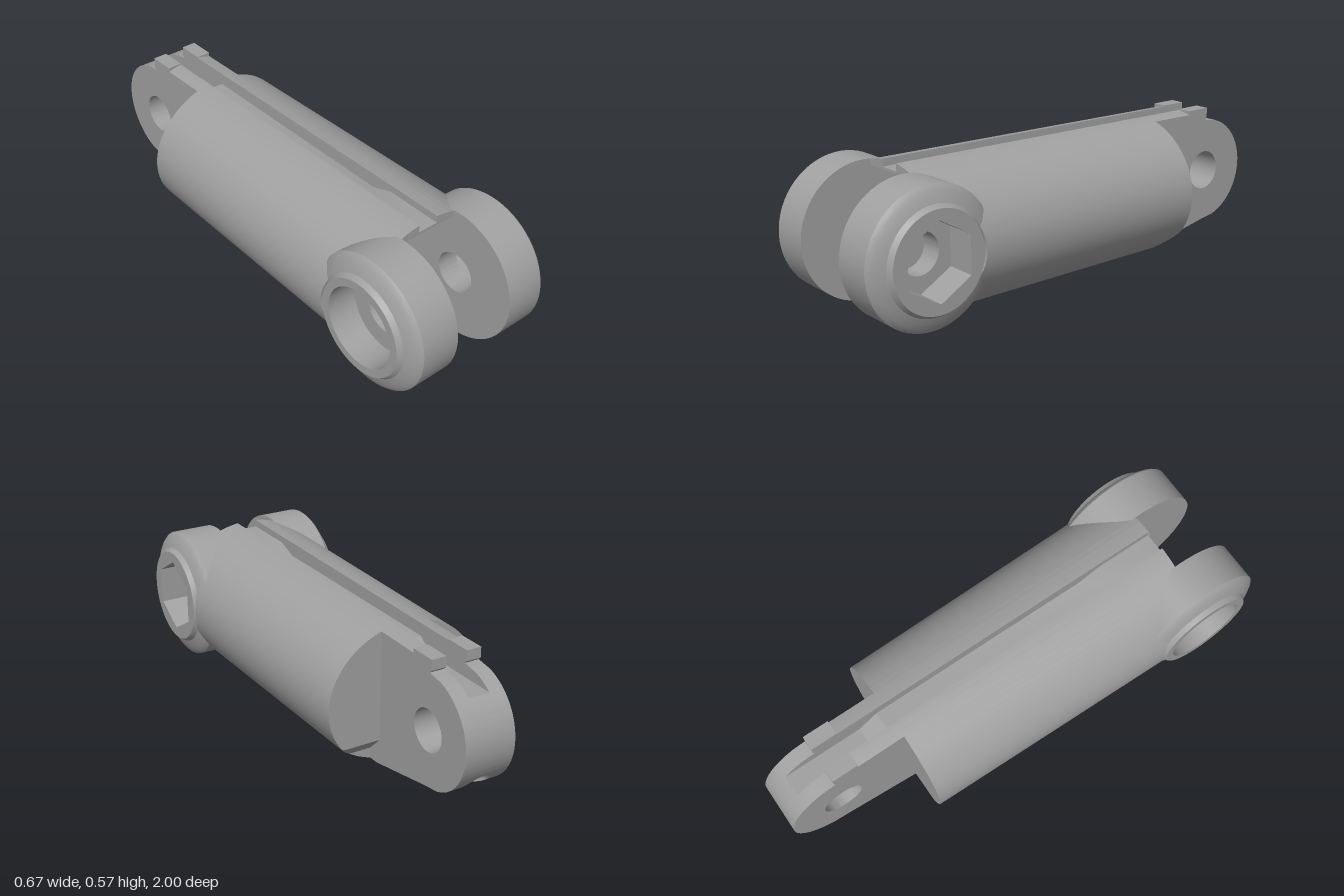
import * as THREE from 'three';
import { toCreasedNormals } from 'three/addons/utils/BufferGeometryUtils.js';

const PZ = 0.74, PY = 0.293;          // front pivot
const TZ = -0.78, TY = 0.295;         // rear pivot
const GAP = 0.125, TONGUE = 0.1, SLOT = 0.042, R0 = 0.33;
const clamp = THREE.MathUtils.clamp;
const root = (r, d) => Math.sqrt(Math.max(0, r * r - d * d));

// Tapered elliptical body
const rx = z => 0.3215 + 0.018 * z;
const xAt = (u, z) => Math.abs(u) <= GAP ? u
  : Math.sign(u) * (GAP + (rx(z) - GAP) * (Math.abs(u) - GAP) / (R0 - GAP));
const half = (u, z) => (0.281 + 0.005 * z) * root(1, xAt(u, z) / rx(z));
const top = (u, z) => 0.284 + 0.004 * z + half(u, z);
const bottom = (u, z) => 0.284 + 0.004 * z - half(u, z);

// End profiles: z as a function of y
const gapFront = y => y < 0.18 ? 0.43 : y < 0.26 ? 0.43 + (y - 0.18) * 0.875
  : Math.min(0.71, PZ - root(0.24, y - 0.29));
const earFront = y => Math.min(0.71, PZ - root(0.2, y - 0.29));
const bodyRear = y => -0.43 - clamp(y - 0.06, 0, 0.06);
const tongueRear = y => y < 0.08 ? -0.43 - Math.max(0, y - 0.01) * 5
  : y > 0.51 ? -0.79 : TZ - root(0.215, y - TY);

// Round tunnel along the body
const tunnel = u => root(0.05, u);
const tunnelTop = u => 0.128 + tunnel(u);
const tunnelBottom = u => 0.128 - tunnel(u);

const ROWS = Array.from({ length: 59 }, (_, i) => i / 100);
const HOLE_ROWS = Array.from({ length: 25 }, (_, i) => TY - 0.08 * Math.cos(i / 24 * Math.PI));

// Solid spanning columns us, between heights lo and hi and between two end profiles
function band(us, lo, hi, rear, front, rows = ROWS) {
  const pos = [];
  const point = (u, row, end) => {
    const z = end(clamp(row, lo(u, 0), hi(u, 0)));
    return new THREE.Vector3(xAt(u, z), clamp(row, lo(u, z), hi(u, z)), z);
  };
  const F = us.map(u => rows.map(r => point(u, r, front)));
  const B = us.map(u => rows.map(r => point(u, r, rear)));
  const tri = (a, b, c) => {
    const n = b.clone().sub(a).cross(c.clone().sub(a));
    if (n.length() > 1e-9) for (const p of [a, b, c]) pos.push(p.x, p.y, p.z);
  };
  const quad = (a, b, c, d) => { tri(a, b, c); tri(a, c, d); };
  const n = us.length - 1, m = rows.length - 1;
  for (let i = 0; i < n; i++) {
    for (let j = 0; j < m; j++) {
      quad(F[i][j], F[i + 1][j], F[i + 1][j + 1], F[i][j + 1]);
      quad(B[i + 1][j], B[i][j], B[i][j + 1], B[i + 1][j + 1]);
    }
    quad(F[i][m], F[i + 1][m], B[i + 1][m], B[i][m]);
    quad(B[i][0], B[i + 1][0], F[i + 1][0], F[i][0]);
  }
  for (let j = 0; j < m; j++) {
    quad(F[n][j], B[n][j], B[n][j + 1], F[n][j + 1]);
    quad(B[0][j], F[0][j], F[0][j + 1], B[0][j + 1]);
  }
  const g = new THREE.BufferGeometry();
  g.setAttribute('position', new THREE.Float32BufferAttribute(pos, 3));
  return toCreasedNormals(g, 0.45);
}

// Flat outline in (-z, y) extruded from x0 to x1
function plate(shape, x0, x1) {
  const g = new THREE.ExtrudeGeometry(shape, { depth: x1 - x0, bevelEnabled: false, curveSegments: 32 });
  g.rotateY(Math.PI / 2).translate(x0, 0, 0);
  return toCreasedNormals(g, 0.45);
}

const circle = (r, C = THREE.Path) => new C().absarc(-PZ, PY, r, 0, Math.PI * 2);
const hexagon = r => new THREE.Path(Array.from({ length: 6 }, (_, i) => {
  const a = Math.PI / 2 + i * Math.PI / 3;
  return new THREE.Vector2(-PZ + r * Math.cos(a), PY + r * Math.sin(a));
}));

export function createModel() {
  const model = new THREE.Group();
  const grey = new THREE.MeshStandardMaterial({ color: 0xa0a0a0 });
  grey.name = 'plain grey';
  const add = (name, geometry) => {
    const mesh = new THREE.Mesh(geometry, grey);
    mesh.name = name;
    model.add(mesh);
  };

  // Central web with the tunnel and the rear pivot hole
  const web = (name, us, hi) => {
    const holeEdge = s => y => TZ + s * root(0.08, y - TY);
    const h0 = () => TY - 0.08, h1 = () => TY + 0.08;
    add(name + 'Floor', band(us, bottom, tunnelBottom, tongueRear, gapFront));
    add(name + 'Lower', band(us, tunnelTop, h0, tongueRear, gapFront,
      [...ROWS, 0.215].sort((a, b) => a - b)));
    add(name + 'Middle', band(us, h0, h1, holeEdge(1), gapFront, HOLE_ROWS));
    add(name + 'Tip', band(us, h0, h1, tongueRear, holeEdge(-1), HOLE_ROWS));
    add(name + 'Upper', band(us, h1, hi, tongueRear, gapFront));
  };
  web('core', [-1, -0.85, -0.65, -0.45, -0.2, 0, 0.2, 0.45, 0.65, 0.85, 1].map(t => t * SLOT), () => 0.46);

  // Floor of the long top slot
  const floor = [[0.571, 0.46], [0.62, 0.5], [0.66, 0.516], [0.71, 0.53], [0.71, 0.54], [0.48, 0.54],
    [0.39, 0.51], [-0.52, 0.51], [-0.6, 0.46]];
  add('slotFloor', plate(new THREE.Shape(floor.map(([z, y]) => new THREE.Vector2(-z, y))), -SLOT, SLOT));

  const socketDepth = 0.12, wall = [SLOT, 0.045, 0.048, 0.0495, 0.05, 0.075, TONGUE];
  const flank = Array.from({ length: 17 }, (_, i) => GAP + (R0 - GAP) * Math.sin(i / 16 * Math.PI / 2));
  const earProfile = [[0.08, 0.125], [0.262, 0.125], [0.262, 0.28], [0.255, 0.288], [0.24, 0.297],
    [0.22, 0.307], [0.2, 0.314], [0.187, 0.333]];

  for (const s of [1, -1]) {
    const side = s > 0 ? 'left' : 'right';
    const cols = us => us.map(u => u * s).sort((a, b) => a - b);
    const span = (a, b) => s > 0 ? [a, b] : [-b, -a];

    web(side + 'Web', cols(wall), top);
    add(side + 'Collar', band(cols([TONGUE, GAP]), bottom, top, bodyRear, gapFront));
    add(side + 'BodyFlank', band(cols(flank), bottom, top, bodyRear, earFront));

    // Small raised tab at the rear end of the rail
    const tab = new THREE.BoxGeometry(TONGUE - SLOT, 0.04, 0.105);
    add(side + 'RailTab', tab.translate(s * (TONGUE + SLOT) / 2, 0.54, -0.7375));

    // Hinge ear
    const ear = new THREE.LatheGeometry(earProfile.map(p => new THREE.Vector2(...p)), 64);
    ear.rotateZ(-s * Math.PI / 2).translate(0, PY, PZ);
    add(side + 'Ear', toCreasedNormals(ear, 0.45));

    // Socket: hexagonal on one side, round on the other
    const rim = circle(0.187, THREE.Shape);
    rim.holes.push(s > 0 ? hexagon(0.148) : circle(0.155));
    add(side + 'Socket', plate(rim, ...span(0.333 - socketDepth, 0.333)));
    const seat = circle(0.187, THREE.Shape);
    seat.holes.push(circle(0.08));
    add(side + 'SocketSeat', plate(seat, ...span(GAP, 0.333 - socketDepth)));
  }
  return model;
}
